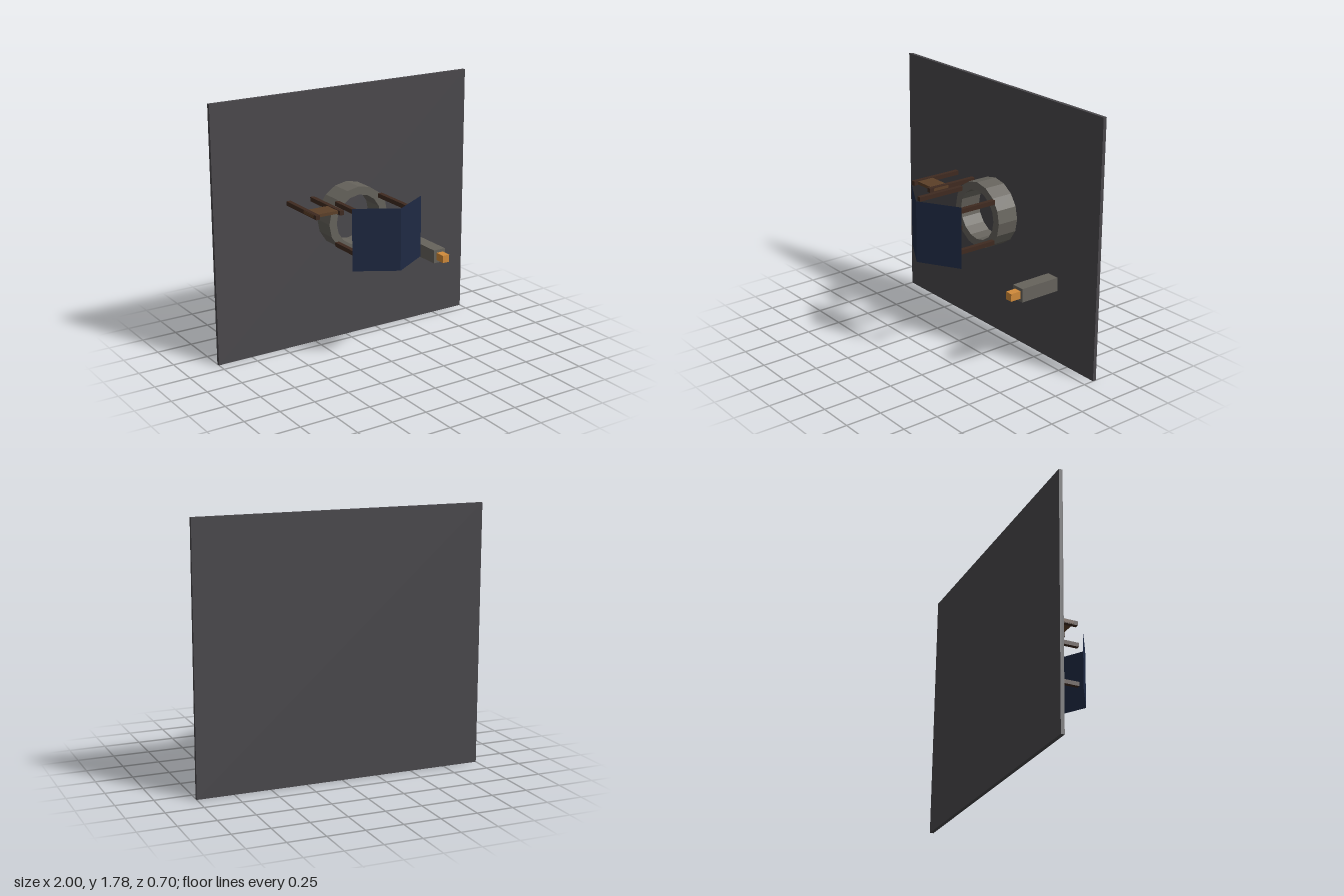
import * as THREE from 'three';

const mat = (color, extra = {}) => new THREE.MeshStandardMaterial({ color, ...extra });

export function createModel() {
  const model = new THREE.Group();
  const wallGrey = mat(0x4a484c);
  const stone = mat(0x66635c, { flatShading: true });
  const darkWood = mat(0x3f2a20);
  const wood = mat(0x5c4028);
  const orange = mat(0xd08a3a);
  const navy = mat(0x1f2a44, { flatShading: true, side: THREE.DoubleSide });

  const add = (name, geometry, material, x = 0, y = 0, z = 0) => {
    const mesh = new THREE.Mesh(geometry, material);
    mesh.name = name;
    mesh.position.set(x, y, z);
    model.add(mesh);
    return mesh;
  };
  // Box given by its min and max along each axis
  const box = (name, material, [x0, x1], [y0, y1], [z0, z1]) =>
    add(name, new THREE.BoxGeometry(x1 - x0, y1 - y0, z1 - z0), material,
      (x0 + x1) / 2, (y0 + y1) / 2, (z0 + z1) / 2);
  // Square rod running along z
  const rod = (name, x, y, z0, z1, w = 0.03) =>
    box(name, darkWood, [x - w / 2, x + w / 2], [y - w / 2, y + w / 2], [z0, z1]);

  // Wall panel
  box('wallPanel', wallGrey, [-1, 1], [0, 1.78], [-0.35, -0.325]);

  // Sixteen-sided open ring, axis along z
  const R = 0.232, r = 0.175, cy = 0.893;
  const profile = [[r, 0], [R, 0], [R, 0.157], [r, 0.157], [r, 0]]
    .map(([x, y]) => new THREE.Vector2(x, y));
  const ring = add('ring', new THREE.LatheGeometry(profile, 16), stone, 0, cy, -0.31);
  ring.rotation.x = Math.PI / 2;

  // Four struts from the ring to the shield
  for (const x of [-0.172, 0.172])
    for (const y of [0.75, 1.036]) rod('shieldStrut', x, y, -0.155, 0.203);

  // Thin folded shield with its crease to the front
  const w = 0.27, zEdge = 0.19, zCrease = 0.35;
  const leaf = Math.hypot(w, zCrease - zEdge);
  for (const s of [-1, 1]) {
    const panel = add('shieldPanel', new THREE.PlaneGeometry(leaf, 0.425), navy,
      s * w / 2, 0.892, (zEdge + zCrease) / 2);
    panel.rotation.y = s * Math.atan2(zCrease - zEdge, w);
  }

  // Side shelf: two arms and a plate
  for (const x of [-0.443, -0.261]) rod('shelfArm', x, 1.039, -0.325, 0.055);
  box('shelfPlate', wood, [-0.46, -0.245], [1.029, 1.05], [-0.1, 0.025]);

  // Bracket with a coloured tip
  box('bracket', stone, [0.538, 0.632], [0.51, 0.605], [-0.325, -0.025]);
  box('bracketTip', orange, [0.559, 0.613], [0.531, 0.584], [-0.025, 0.052]);

  return model;
}
